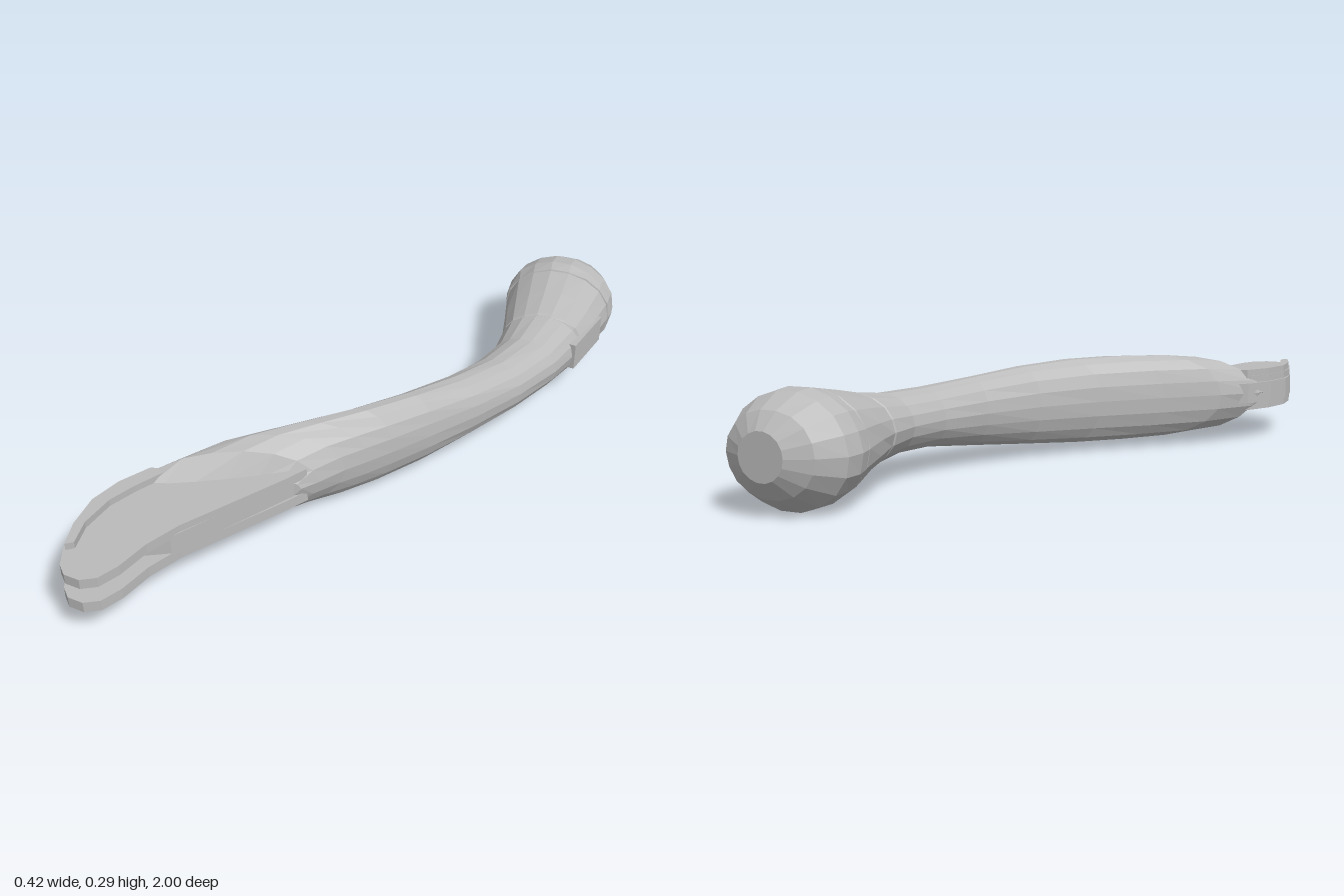
import * as THREE from 'three';

const SIDES = 18;

// Cross-sections from back to front: left x, left z, right x, right z, top y, bottom y
const HEAD = [
  [-0.155, -0.955, -0.035, -1.0, 0.21, 0.09],
  [-0.2, -0.9, 0.03, -0.995, 0.255, 0.045],
  [-0.212, -0.82, 0.085, -0.95, 0.29, 0.004],
  [-0.195, -0.77, 0.105, -0.915, 0.294, 0.002],
];
const GROOVE_A = [-0.164, -0.73, 0.116, -0.89, 0.287, 0.008];
const COLLAR = [[-0.095, -0.645, 0.15, -0.79, 0.268, 0.033]];
const GROOVE_B = [-0.03, -0.565, 0.175, -0.69, 0.248, 0.052];
const SHAFT = [
  [0.018, -0.47, 0.202, -0.54, 0.231, 0.067],
  [0.045, -0.35, 0.212, -0.38, 0.231, 0.07],
  [0.055, -0.2, 0.2, -0.21, 0.245, 0.055],
  [0.043, -0.02, 0.18, -0.06, 0.262, 0.04],
  [0.0, 0.17, 0.16, 0.07, 0.273, 0.03],
  [-0.07, 0.36, 0.145, 0.15, 0.276, 0.027],
  [-0.14, 0.53, 0.13, 0.22, 0.273, 0.03],
  [-0.168, 0.66, 0.118, 0.3, 0.262, 0.036],
  [-0.163, 0.74, 0.11, 0.35, 0.195, 0.103],
];

const mix = (a, b, t) => a.map((v, i) => v + (b[i] - v) * t);

// Slightly smaller copy of a section, used as the floor of a groove
function shrink(s) {
  const d = 0.005;
  return [s[0] + d, s[1] - d / 2, s[2] - d, s[3] + d / 2, s[4] - d, s[5] + d];
}

// Small repeatable surface irregularity
function wobble(a, b) {
  const v = Math.sin(a * 12.9898 + b * 78.233) * 43758.5453;
  return (v - Math.floor(v) - 0.5) * 0.03;
}

// Closed skin over a row of elliptical sections
function loft(sections) {
  const pos = [], index = [], n = sections.length;
  sections.forEach(([lx, lz, rx, rz, top, bottom]) => {
    for (let j = 0; j < SIDES; j++) {
      const a = (j / SIDES) * Math.PI * 2;
      const k = 1 + wobble(lx + rz, j);
      const c = Math.cos(a) * k, s = Math.sin(a) * Math.min(k, 1);
      pos.push(
        (lx + rx) / 2 + ((rx - lx) / 2) * c,
        (top + bottom) / 2 + ((top - bottom) / 2) * s,
        (lz + rz) / 2 + ((rz - lz) / 2) * c
      );
    }
  });
  for (const s of [sections[0], sections[n - 1]]) {
    pos.push((s[0] + s[2]) / 2, (s[4] + s[5]) / 2, (s[1] + s[3]) / 2);
  }
  for (let j = 0; j < SIDES; j++) {
    const k = (j + 1) % SIDES;
    for (let i = 0; i < n - 1; i++) {
      const a = i * SIDES + j, b = i * SIDES + k;
      index.push(a, b, b + SIDES, a, b + SIDES, a + SIDES);
    }
    const last = (n - 1) * SIDES;
    index.push(n * SIDES, k, j, n * SIDES + 1, last + j, last + k);
  }
  let geo = new THREE.BufferGeometry();
  geo.setAttribute('position', new THREE.Float32BufferAttribute(pos, 3));
  geo.setIndex(index);
  geo = geo.toNonIndexed();
  geo.computeVertexNormals();
  return geo;
}

// Horizontal plate from an outline of [x, z] points
function slab(points, bottom, top) {
  const shape = new THREE.Shape(points.map(([x, z]) => new THREE.Vector2(x, z)));
  const geo = new THREE.ExtrudeGeometry(shape, { depth: top - bottom, bevelEnabled: false });
  geo.rotateX(Math.PI / 2);
  geo.translate(0, top, 0);
  return geo;
}

export function createModel() {
  const model = new THREE.Group();
  model.name = 'curvedHandle';
  const grey = new THREE.MeshStandardMaterial({ color: 0xbababa });
  grey.name = 'grey';
  const add = (name, geo) => {
    const mesh = new THREE.Mesh(geo, grey);
    mesh.name = name;
    model.add(mesh);
    return mesh;
  };

  // Rounded head, collar and curved shaft, parted by thin grooves
  const t = 0.05, floorA = shrink(GROOVE_A), floorB = shrink(GROOVE_B);
  add('head', loft([...HEAD, mix(GROOVE_A, HEAD[3], t), floorA]));
  add('collar', loft([floorA, mix(GROOVE_A, COLLAR[0], t), ...COLLAR, mix(GROOVE_B, COLLAR[0], t), floorB]));
  add('shaft', loft([floorB, mix(GROOVE_B, SHAFT[0], t), ...SHAFT]));

  // Locking tab on the outer side of the collar
  const tab = add('collarTab', new THREE.BoxGeometry(0.02, 0.08, 0.19));
  tab.position.set(0.157, 0.15, -0.725);
  tab.rotation.y = Math.atan2(0.053, 0.19);

  // Two flat prongs at the front
  const prong = [
    [-0.12, 0.58], [0.105, 0.33], [0.1, 0.4], [0.075, 0.6], [0.062, 0.7], [0.064, 0.8],
    [0.083, 0.89], [0.083, 0.95], [0.06, 0.985], [0.02, 1.0], [-0.015, 0.988],
    [-0.06, 0.95], [-0.11, 0.885], [-0.148, 0.81], [-0.162, 0.72], [-0.155, 0.64],
  ];
  add('upperProng', slab(prong, 0.172, 0.2));
  add('lowerProng', slab(prong, 0.098, 0.128));

  // Web joining the prongs, cut back at an angle to leave the slot
  add('prongWeb', slab([
    [-0.12, 0.55], [0.1, 0.34], [0.075, 0.6], [0.062, 0.73], [-0.075, 0.92],
    [-0.11, 0.89], [-0.155, 0.81], [-0.17, 0.72], [-0.165, 0.62],
  ], 0.12, 0.18));

  // Raised lip along the outer edge of the upper prong
  add('upperLip', slab([
    [-0.112, 0.6], [-0.118, 0.7], [-0.115, 0.78], [-0.085, 0.87], [-0.04, 0.93],
    [-0.05, 0.95], [-0.1, 0.893], [-0.146, 0.81], [-0.16, 0.72], [-0.152, 0.63],
  ], 0.19, 0.219));

  return model;
}
